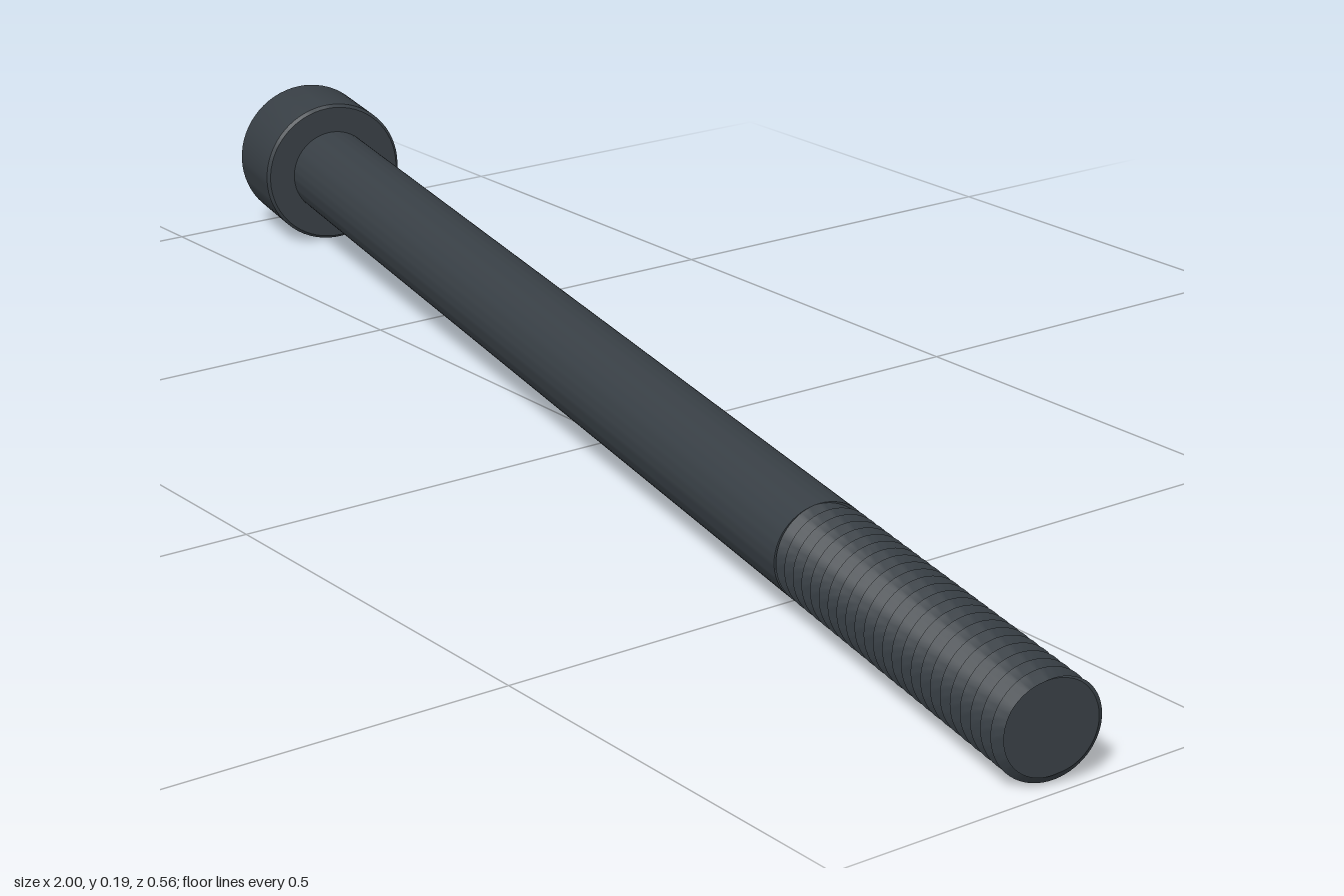
import * as THREE from 'three';
import { toCreasedNormals } from 'three/addons/utils/BufferGeometryUtils.js';

const HEAD = new THREE.Vector3(-0.98, 0.0975, -0.19); // centre of head face
const TIP = new THREE.Vector3(0.988, 0.0575, 0.228);
const LENGTH = HEAD.distanceTo(TIP);
const U = LENGTH / 106; // bolt proportions: 6 head + 76 plain + 24 thread
const HEAD_R = 5 * U, HEAD_H = 6 * U, SHANK_R = 3 * U;
const SOCKET_R = 2.887 * U, SOCKET_D = 3 * U;
const TURNS = 24, PITCH = U, THREAD_START = LENGTH - TURNS * PITCH;
const ROOT_R = SHANK_R - 0.613 * U;

// Helical V thread closed by a flat tip; vertex rows follow crests and roots
function threadGeometry(segments = 64) {
  const pos = [], index = [], rows = TURNS * 2 + 4, cols = segments + 1;
  for (let k = 0; k < rows; k++) {
    for (let i = 0; i < cols; i++) {
      const turn = i / segments, a = turn * Math.PI * 2;
      const s = THREE.MathUtils.clamp((k - 2) / 2 + turn, 0, TURNS);
      const f = THREE.MathUtils.euclideanModulo(s - turn, 1);
      let r = SHANK_R - (SHANK_R - ROOT_R) * Math.abs(2 * f - 1);
      r = Math.min(r, SHANK_R - 0.15 * U + (TURNS - s) * PITCH); // tip chamfer
      if (k === rows - 1) r = 0;
      pos.push(r * Math.cos(a), THREAD_START + s * PITCH, -r * Math.sin(a));
      if (k < rows - 1 && i < segments) {
        const p = k * cols + i, q = p + cols;
        index.push(p, p + 1, q, p + 1, q + 1, q);
      }
    }
  }
  const g = new THREE.BufferGeometry();
  g.setAttribute('position', new THREE.Float32BufferAttribute(pos, 3));
  g.setIndex(index);
  return toCreasedNormals(g, 0.5);
}

const lathe = (points) => toCreasedNormals(
  new THREE.LatheGeometry(points.map(([r, y]) => new THREE.Vector2(r, y)), 64), 0.5);

export function createModel() {
  const steel = new THREE.MeshStandardMaterial({ color: 0x383f45 });
  steel.name = 'dark steel';
  const model = new THREE.Group();
  model.name = 'socketHeadBolt';
  const add = (name, geometry) => {
    const mesh = new THREE.Mesh(geometry, steel);
    mesh.name = name;
    model.add(mesh);
  };

  // Head: rounded outer rim, small chamfer underneath
  const fillet = 0.4 * U, rim = [];
  for (let i = 0; i <= 4; i++) {
    const a = (i / 4) * Math.PI / 2;
    rim.push([HEAD_R - fillet + fillet * Math.sin(a), fillet - fillet * Math.cos(a)]);
  }
  add('head', lathe([...rim, [HEAD_R, HEAD_H - 0.2 * U],
    [HEAD_R - 0.2 * U, HEAD_H], [SHANK_R, HEAD_H]]));

  // Head face with hexagonal hole
  const face = new THREE.Shape().absarc(0, 0, HEAD_R - fillet, 0, Math.PI * 2);
  const hex = Array.from({ length: 6 }, (_, i) => new THREE.Vector2(
    SOCKET_R * Math.cos(i * Math.PI / 3), SOCKET_R * Math.sin(i * Math.PI / 3)));
  face.holes.push(new THREE.Path(hex));
  add('headFace', new THREE.ShapeGeometry(face, 32).rotateX(Math.PI / 2));

  // Socket walls turned inward, and floor
  const walls = new THREE.CylinderGeometry(SOCKET_R, SOCKET_R, SOCKET_D, 6, 1, true)
    .rotateY(Math.PI / 2).translate(0, SOCKET_D / 2, 0).scale(1, 1, -1);
  add('socketWalls', toCreasedNormals(walls, 0.5));
  add('socketFloor', new THREE.CircleGeometry(SOCKET_R, 6)
    .rotateX(Math.PI / 2).translate(0, SOCKET_D, 0));

  // Plain shank and thread
  add('shank', lathe([[SHANK_R, HEAD_H], [SHANK_R, THREAD_START], [0, THREAD_START]]));
  add('thread', threadGeometry());

  // Lay the bolt along its slanted axis
  model.position.copy(HEAD);
  model.quaternion.setFromUnitVectors(
    new THREE.Vector3(0, 1, 0), TIP.clone().sub(HEAD).normalize());
  const root = new THREE.Group();
  root.name = 'bolt';
  root.add(model);
  return root;
}
